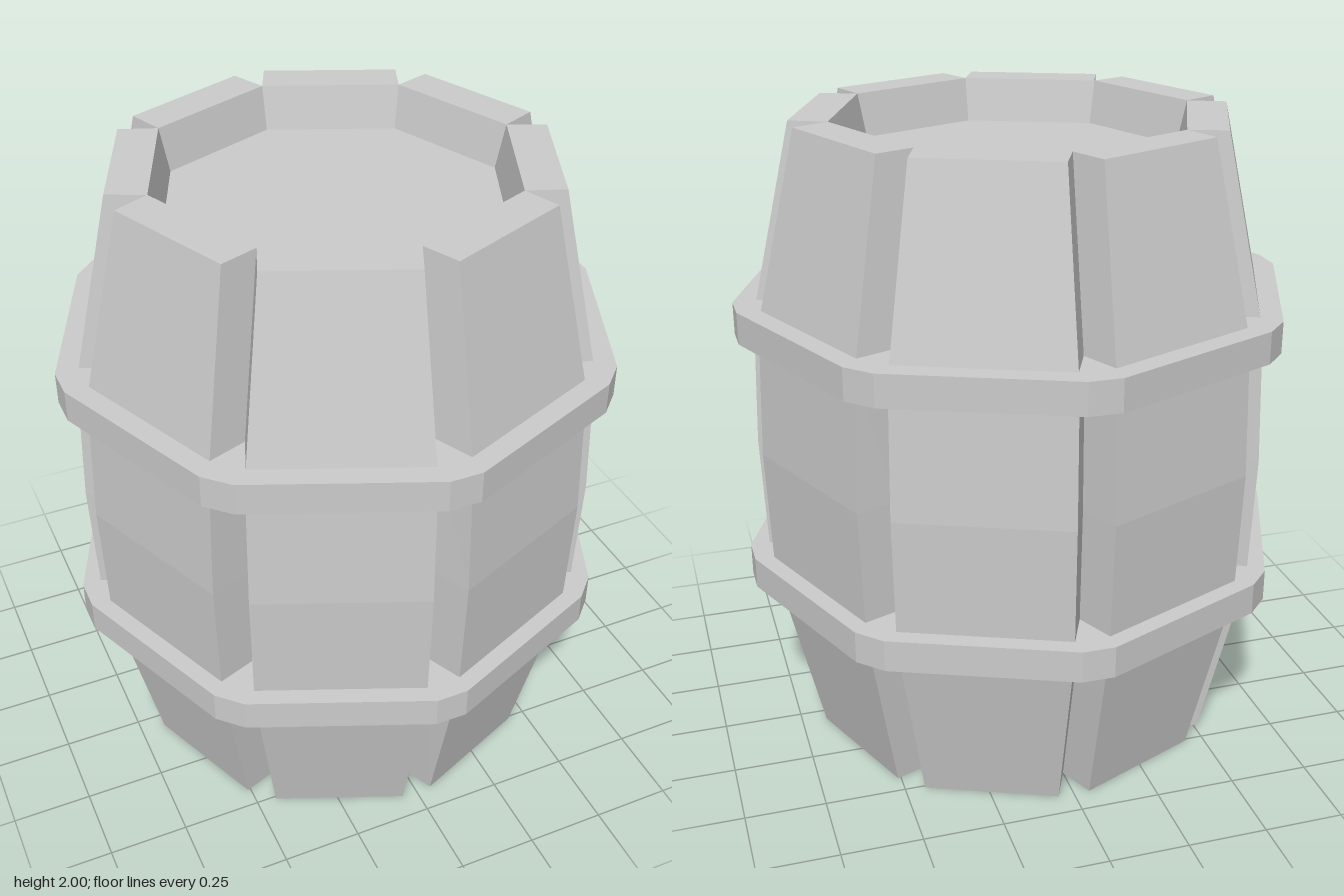
import * as THREE from 'three';

const SIDES = 8;
const material = new THREE.MeshStandardMaterial({ color: 0xcccccc, flatShading: true });

// Eight-cornered ring: each corner is two points (r, -w) and (r, +w) with a notch point at radius n between.
function ring(y, r, w = 0, n = r) {
  const points = [];
  for (let k = 0; k < SIDES; k++) {
    const t = (k * 2 * Math.PI) / SIDES, c = Math.cos(t), s = Math.sin(t);
    for (const [u, v] of [[r, -w], [n, 0], [r, w]]) {
      points.push(new THREE.Vector3(u * c - v * s, y, u * s + v * c));
    }
  }
  return points;
}

// Skin a list of rings, leaving out triangles that collapse to nothing.
function loft(name, rings) {
  const positions = [];
  const tri = (a, b, c) => {
    if (new THREE.Triangle(a, b, c).getArea() < 1e-7) return;
    for (const p of [a, b, c]) positions.push(p.x, p.y, p.z);
  };
  for (let j = 0; j < rings.length - 1; j++) {
    const low = rings[j], high = rings[j + 1];
    for (let i = 0; i < low.length; i++) {
      const next = (i + 1) % low.length;
      tri(low[i], high[i], high[next]);
      tri(low[i], high[next], low[next]);
    }
  }
  const geometry = new THREE.BufferGeometry();
  geometry.setAttribute('position', new THREE.Float32BufferAttribute(positions, 3));
  geometry.computeVertexNormals();
  const mesh = new THREE.Mesh(geometry, material);
  mesh.name = name;
  return mesh;
}

export function createModel() {
  const barrel = new THREE.Group();
  barrel.name = 'barrel';

  // Bulging staves with V grooves, closed bottom, raised rim and its sloping inner wall
  barrel.add(loft('staves', [
    ring(0, 0),
    ring(0, 0.67, 0.05, 0.56),
    ring(0.58, 0.805, 0.053, 0.69),
    ring(1, 0.82, 0.056, 0.7),
    ring(1.42, 0.805, 0.053, 0.69),
    ring(2, 0.67, 0.05, 0.56),
    ring(2, 0.56),
    ring(1.865, 0.53),
  ]));

  // Sunken lid
  barrel.add(loft('lid', [ring(1.865, 0.53), ring(1.865, 0)]));

  // Two hoops with clipped corners
  for (const [name, y] of [['lowerHoop', 0.54], ['upperHoop', 1.363]]) {
    const top = y + 0.1;
    barrel.add(loft(name, [
      ring(y, 0.62),
      ring(y, 0.867, 0.05),
      ring(top, 0.867, 0.05),
      ring(top, 0.62),
    ]));
  }
  return barrel;
}
